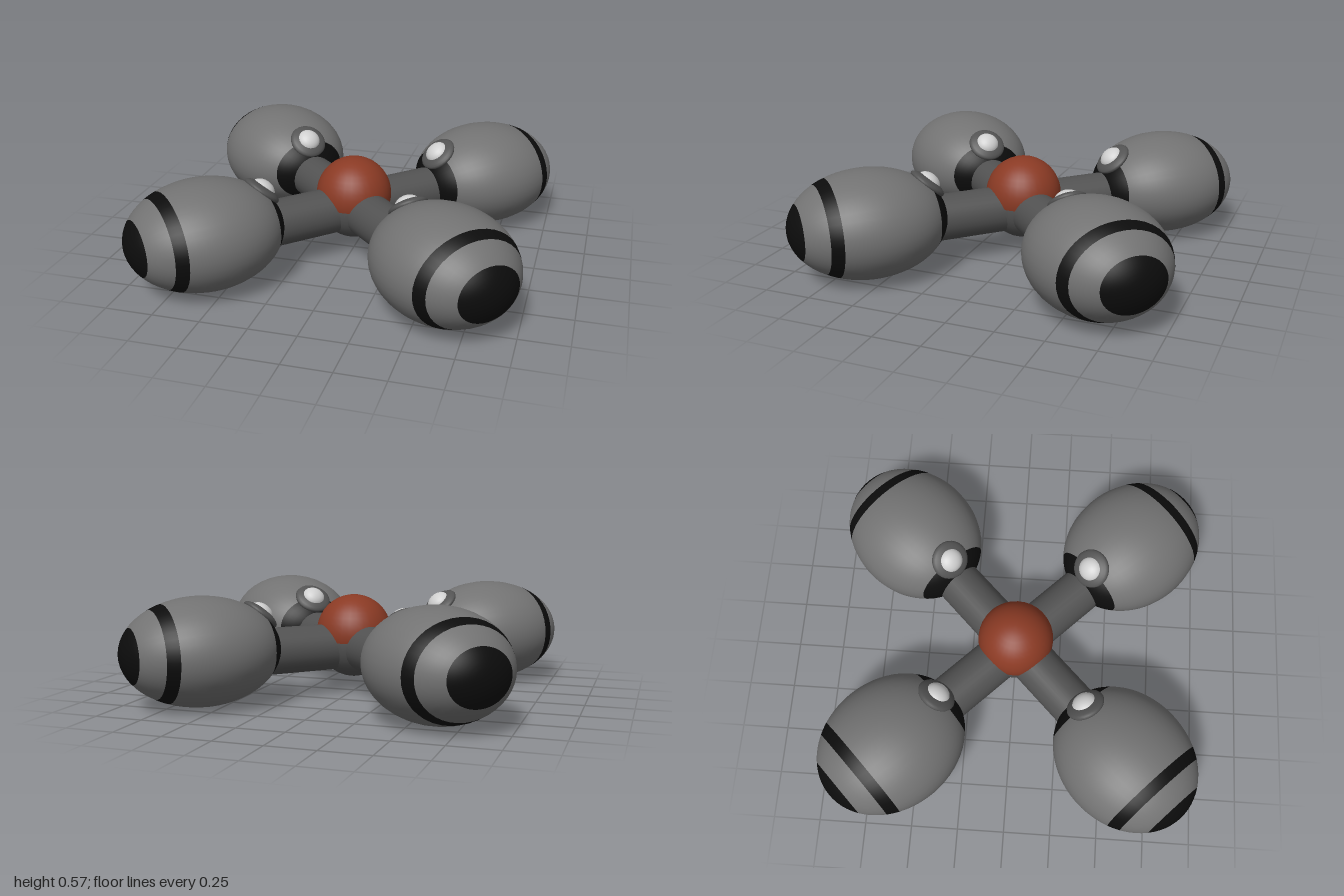
import * as THREE from 'three';

const mat = (name, color) => {
  const m = new THREE.MeshStandardMaterial({ color });
  m.name = name;
  return m;
};

export function createModel() {
  const grey = mat('shell grey', 0x727272);
  const dark = mat('dark grey', 0x525252);
  const black = mat('black', 0x0c0c0c);
  const red = mat('rust red', 0x8a3a24);
  const white = mat('pale grey', 0xcfcfcf);

  const model = new THREE.Group();
  model.name = 'fourPodCraft';

  const add = (parent, name, geometry, material, y = 0, z = 0) => {
    const mesh = new THREE.Mesh(geometry, material);
    mesh.name = name;
    mesh.position.set(0, y, z);
    parent.add(mesh);
    return mesh;
  };

  // Pod semi-axes: across, up, and along the arm
  const W = 0.346, H = 0.283, L = 0.417, podZ = 0.873, podY = 0.283;

  // Slice of the pod ellipsoid between two positions along the arm
  const podSlice = (from, to) => {
    const t0 = Math.acos(to / L), t1 = Math.acos(from / L);
    const rows = Math.max(4, Math.ceil((t1 - t0) * 10));
    return new THREE.SphereGeometry(1, 40, rows, 0, Math.PI * 2, t0, t1 - t0)
      .rotateX(Math.PI / 2)
      .scale(W, H, L);
  };

  const slices = [
    ['podInnerBand', -L, -0.33, black],
    ['podShell', -0.33, 0.195, grey],
    ['podStripe', 0.195, 0.255, black],
    ['podNoseShell', 0.255, 0.361, grey],
    ['podTip', 0.361, L, black],
  ];

  // Four arms on the diagonals, each with a pod and a lamp
  for (let i = 0; i < 4; i++) {
    const arm = new THREE.Group();
    arm.name = 'arm' + (i + 1);
    arm.rotation.y = Math.PI / 4 + (i * Math.PI) / 2;
    model.add(arm);

    const tube = new THREE.CylinderGeometry(0.124, 0.124, 0.52, 28, 1, true).rotateX(Math.PI / 2);
    add(arm, 'armTube', tube, dark, 0.254, 0.26);

    for (const [name, from, to, material] of slices)
      add(arm, name, podSlice(from, to), material, podY, podZ);

    // Lamp set on the upper inner shoulder, facing up and inward
    const lamp = new THREE.Group();
    lamp.name = 'lamp';
    lamp.position.set(0, podY + 0.17, podZ - 0.325);
    lamp.rotation.x = -0.71;
    arm.add(lamp);
    add(lamp, 'lampRim', new THREE.SphereGeometry(0.105, 28, 12).scale(1, 0.32, 1), dark);
    add(lamp, 'lampLens', new THREE.SphereGeometry(0.068, 24, 14).scale(1, 0.75, 1), white, 0.008);
  }

  // Central hub: grey lower ball with a red dome ball above it
  add(model, 'hubBase', new THREE.SphereGeometry(0.2, 32, 20), dark, 0.283);
  add(model, 'hubDome', new THREE.SphereGeometry(0.204, 32, 20), red, 0.328);

  return model;
}
